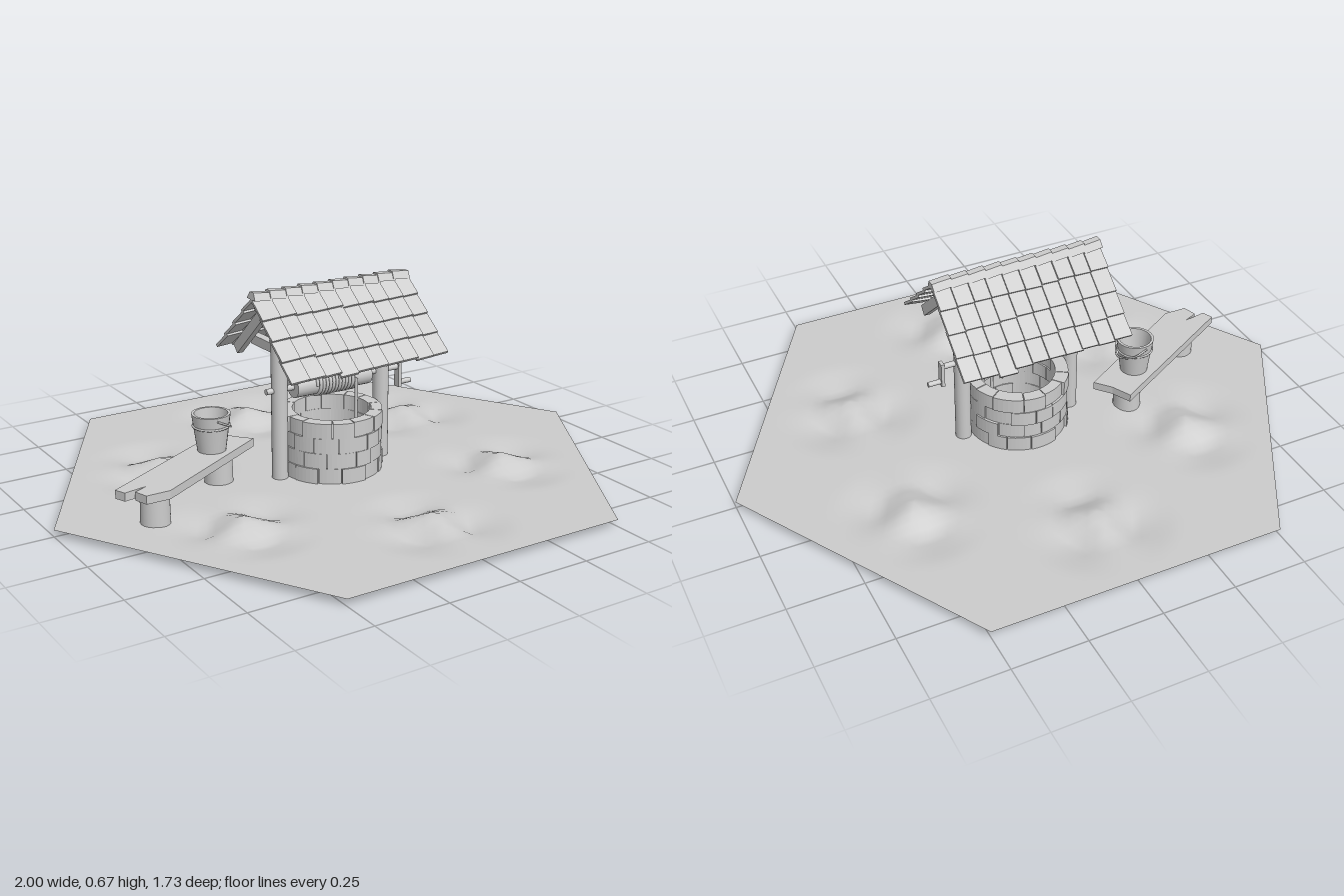
import * as THREE from 'three';
import { mergeVertices } from 'three/addons/utils/BufferGeometryUtils.js';

const mat = new THREE.MeshStandardMaterial({ color: 0xcccccc, side: THREE.DoubleSide });
const flat = new THREE.MeshStandardMaterial({ color: 0xcccccc, flatShading: true });
const GROUND = 0.025;

// Small seeded generator for hand-laid irregularity
let seed = 7;
const jitter = (a) => {
  seed = (seed * 16807) % 2147483647;
  return (seed / 2147483647 - 0.5) * 2 * a;
};

function add(parent, name, geo, pos = [0, 0, 0], rot = [0, 0, 0], material = flat) {
  const m = new THREE.Mesh(geo, material);
  m.name = name;
  m.position.set(...pos);
  m.rotation.set(...rot);
  parent.add(m);
  return m;
}
const box = (w, h, d) => new THREE.BoxGeometry(w, h, d);
const cyl = (r0, r1, h, n = 20) => new THREE.CylinderGeometry(r0, r1, h, n);
const group = (parent, name) => {
  const g = new THREE.Group();
  g.name = name;
  parent.add(g);
  return g;
};

// Six small mounds, each ringed by shallow three-lobed dips
function groundHeight(x, z) {
  for (let k = 0; k < 6; k++) {
    const a = Math.PI / 6 + (k * Math.PI) / 3;
    const dx = x - Math.cos(a) * 0.577, dz = z - Math.sin(a) * 0.577;
    const d = Math.hypot(dx, dz);
    if (d > 0.25) continue;
    const lobe = 0.5 - 0.5 * Math.cos(3 * (Math.atan2(dz, dx) - a));
    const low = GROUND - 0.025 * lobe;
    if (d < 0.12) return THREE.MathUtils.lerp(0.062, low, d / 0.12);
    return THREE.MathUtils.lerp(low, GROUND, (d - 0.12) / 0.13);
  }
  return GROUND;
}

function groundGeometry(n = 30) {
  const pos = [];
  for (let k = 0; k < 6; k++) {
    const a = (k * Math.PI) / 3, b = a + Math.PI / 3;
    const put = (i, j) => {
      const x = (Math.cos(a) * i + Math.cos(b) * j) / n;
      const z = (Math.sin(a) * i + Math.sin(b) * j) / n;
      pos.push(x, groundHeight(x, z), z);
    };
    for (let i = 0; i < n; i++) for (let j = 0; j < n - i; j++) {
      put(i, j); put(i, j + 1); put(i + 1, j);
      if (i + j < n - 1) { put(i + 1, j); put(i, j + 1); put(i + 1, j + 1); }
    }
  }
  const g = new THREE.BufferGeometry();
  g.setAttribute('position', new THREE.Float32BufferAttribute(pos, 3));
  const merged = mergeVertices(g, 1e-4);
  merged.computeVertexNormals();
  return merged;
}

// Curved wall stone lying in the ground plane, extruded upward
function stoneGeometry(r0, r1, a0, a1, h) {
  const s = new THREE.Shape();
  s.absarc(0, 0, r1, a0, a1, false);
  s.absarc(0, 0, r0, a1, a0, true);
  const g = new THREE.ExtrudeGeometry(s, { depth: h, bevelEnabled: false, curveSegments: 3 });
  return g.rotateX(-Math.PI / 2);
}

function buildWall(parent) {
  const wall = group(parent, 'stoneWall');
  const rows = 4, count = 13, h = 0.21 / rows, step = (Math.PI * 2) / count;
  for (let r = 0; r < rows; r++) {
    const cuts = Array.from({ length: count }, (_, i) => (i + (r % 2) / 2) * step + jitter(0.07));
    for (let i = 0; i < count; i++) {
      const end = i + 1 < count ? cuts[i + 1] : cuts[0] + Math.PI * 2;
      add(wall, 'stone', stoneGeometry(0.132 + jitter(0.003), 0.172 + jitter(0.005),
        cuts[i] + 0.008, end - 0.008, h - 0.001), [0, GROUND + r * h, 0]);
    }
  }
  // Mortar core closing the joints
  const core = [[0.136, 0], [0.165, 0], [0.165, 0.205], [0.136, 0.205], [0.136, 0]];
  add(wall, 'mortar', new THREE.LatheGeometry(core.map((p) => new THREE.Vector2(...p)), 40), [0, GROUND, 0], [0, 0, 0], mat);
}

function buildFrame(parent) {
  const frame = group(parent, 'frame');
  const slope = Math.atan2(0.215, 0.235);
  for (const s of [-1, 1]) {
    add(frame, 'post', cyl(0.027, 0.027, 0.6), [s * 0.2, GROUND + 0.3, 0], [0, 0, 0], mat);
    add(frame, 'crossTie', box(0.03, 0.032, 0.31), [s * 0.2, 0.468, 0]);
    for (const f of [-1, 1])
      add(frame, 'rafter', box(0.022, 0.036, 0.27), [s * 0.243, 0.521, f * 0.092], [f * slope, 0, 0]);
  }
  add(frame, 'ridgeBeam', box(0.56, 0.03, 0.028), [0, 0.62, 0]);
}

function buildRoof(parent) {
  const roof = group(parent, 'roof');
  const slope = Math.atan2(0.215, 0.235), rows = 4, cols = 10, w = 0.059;
  for (const f of [1, -1]) {
    const side = group(roof, f > 0 ? 'frontTiles' : 'backTiles');
    side.rotation.y = f > 0 ? 0 : Math.PI;
    for (let r = 0; r < rows; r++) for (let c = 0; c < cols; c++) {
      const slipped = r === rows - 1 && c === (f > 0 ? 3 : 2) ? 0.012 : 0;
      const d = 0.042 + r * 0.079 + jitter(0.003) + slipped;
      add(side, 'roofTile', box(w + 0.006, 0.01, 0.094),
        [(c - (cols - 1) / 2) * w, 0.652 - d * Math.sin(slope), d * Math.cos(slope)],
        [slope - 0.09, 0, 0.09 * f + jitter(0.02)]);
    }
  }
  // Overlapping ridge caps with an angled section
  const cap = new THREE.Shape();
  [[-0.026, -0.012], [-0.012, 0.012], [0.012, 0.012], [0.026, -0.012], [0.014, -0.012], [-0.014, -0.012]]
    .forEach(([x, y], i) => (i ? cap.lineTo(x, y) : cap.moveTo(x, y)));
  const capGeo = new THREE.ExtrudeGeometry(cap, { depth: 0.066, bevelEnabled: false });
  capGeo.translate(0, 0, -0.033).rotateY(Math.PI / 2);
  for (let c = 0; c < cols; c++)
    add(roof, 'ridgeCap', capGeo, [(c - 4.5) * w, 0.656, 0], [0, 0, -0.1 + jitter(0.02)]);
}

function buildWinch(parent) {
  const winch = group(parent, 'winch');
  const y = 0.33, side = [0, 0, Math.PI / 2];
  add(winch, 'axle', cyl(0.01, 0.01, 0.52, 12), [0.01, y, 0], side, mat);
  add(winch, 'drum', cyl(0.037, 0.037, 0.29), [-0.003, y, 0], side, mat);
  // Rope wound round the drum, then dropping into the well
  const coil = [];
  for (let i = 0; i <= 220; i++) {
    const t = i / 220, a = t * 12 * Math.PI * 2;
    coil.push(new THREE.Vector3(-0.075 + t * 0.15, y + Math.sin(a) * 0.039, Math.cos(a) * 0.039));
  }
  coil.push(new THREE.Vector3(0.075, 0.25, 0.039), new THREE.Vector3(0.075, 0.06, 0.037));
  add(winch, 'rope', new THREE.TubeGeometry(new THREE.CatmullRomCurve3(coil), 460, 0.0062, 6), [0, 0, 0], [0, 0, 0], mat);
  add(winch, 'crankArm', box(0.012, 0.088, 0.026), [0.272, 0.302, 0]);
  add(winch, 'crankHandle', cyl(0.009, 0.009, 0.054, 10), [0.295, 0.273, 0], side, mat);
}

function buildBench(parent) {
  const bench = group(parent, 'bench');
  // Plank outline with a split left end
  const outline = [[-0.83, 0.085], [-0.815, 0.122], [-0.735, 0.108], [-0.785, 0.13], [-0.77, 0.178],
    [-0.69, 0.178], [-0.255, -0.078], [-0.3, -0.13], [-0.333, -0.195]];
  const shape = new THREE.Shape(outline.map(([x, z]) => new THREE.Vector2(x, -z)));
  const plank = new THREE.ExtrudeGeometry(shape, { depth: 0.028, bevelEnabled: false }).rotateX(-Math.PI / 2);
  add(bench, 'plank', plank, [0, 0.12, 0]);
  for (const [x, z] of [[-0.71, 0.108], [-0.385, -0.084]])
    add(bench, 'benchLeg', cyl(0.046, 0.048, 0.105), [x, 0.0695, z], [0, 0, 0], mat);
}

function buildBucket(parent) {
  const bucket = group(parent, 'bucket');
  bucket.position.set(-0.42, 0.148, -0.062);
  const pts = [[0, 0], [0.047, 0], [0.047, 0], [0.064, 0.126], [0.064, 0.126], [0.055, 0.126], [0.055, 0.126],
    [0.041, 0.012], [0.041, 0.012], [0, 0.012]];
  add(bucket, 'pail', new THREE.LatheGeometry(pts.map((p) => new THREE.Vector2(...p)), 24), [0, 0, 0], [0, 0, 0], mat);
  add(bucket, 'hoop', new THREE.TorusGeometry(0.0595, 0.004, 6, 24), [0, 0.085, 0], [Math.PI / 2, 0, 0], mat);
  // Bail handle hanging down against one side
  const bail = [[-0.01, 0.115, -0.064], [0.035, 0.092, -0.058], [0.066, 0.07, 0], [0.035, 0.092, 0.058], [-0.01, 0.115, 0.064]];
  const curve = new THREE.CatmullRomCurve3(bail.map((p) => new THREE.Vector3(...p)));
  add(bucket, 'bail', new THREE.TubeGeometry(curve, 24, 0.0035, 6), [0, 0, 0], [0, 0, 0], mat);
}

export function createModel() {
  const model = new THREE.Group();
  model.name = 'wishingWell';
  add(model, 'ground', groundGeometry(), [0, 0, 0], [0, 0, 0], mat);
  [buildWall, buildFrame, buildRoof, buildWinch, buildBench, buildBucket].forEach((build) => build(model));
  return model;
}
